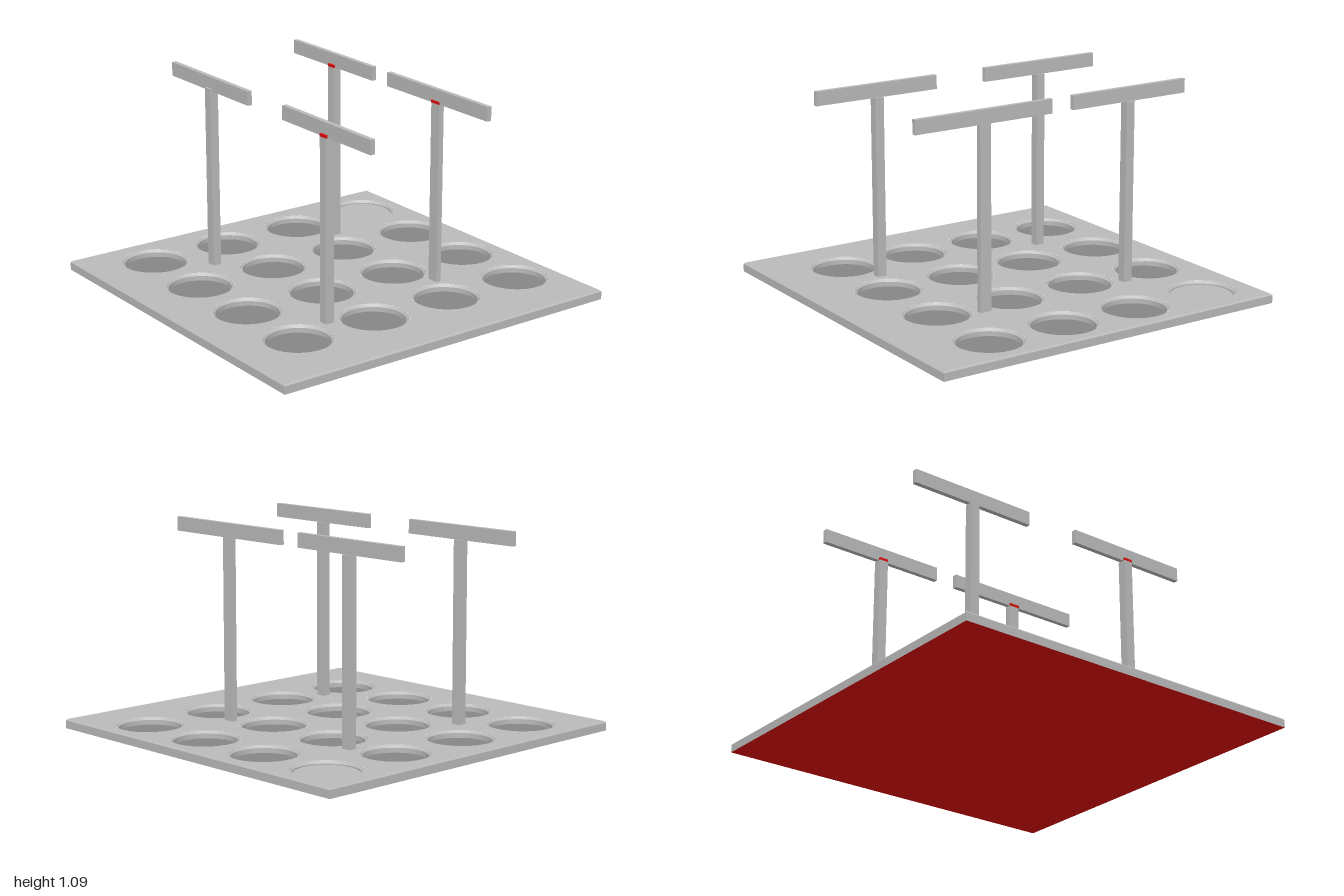
import * as THREE from 'three';
import { toCreasedNormals } from 'three/addons/utils/BufferGeometryUtils.js';

export function createModel() {
  const model = new THREE.Group();
  const material = (name, color) => Object.assign(new THREE.MeshStandardMaterial({ color }), { name });
  const gray = material('light gray', 0xbababa);
  const dark = material('dark gray', 0x868686);
  const red = material('red', 0xe00c0c);

  const add = (name, geometry, mat, x = 0, y = 0, z = 0, parent = model) => {
    const mesh = new THREE.Mesh(geometry, mat);
    mesh.name = name;
    mesh.position.set(x, y, z);
    parent.add(mesh);
    return mesh;
  };

  // Plate dimensions and the grid of round pockets
  const top = 0.05, chamfer = 0.008, sides = 28;
  const rim = 0.178, bore = 0.163, lip = 0.037;
  const columns = [-0.73, -0.29, 0.15, 0.59];
  const rows = [-0.762, -0.297, 0.168, 0.631];

  // Top sheet with holes
  const e = 1 - chamfer;
  const sheet = new THREE.Shape([[-e, -e], [e, -e], [e, e], [-e, e]].map(p => new THREE.Vector2(...p)));

  rows.forEach((z, r) => columns.forEach((x, c) => {
    const hole = new THREE.Path();
    hole.absarc(x, -z, rim, 0, Math.PI * 2, true);
    sheet.holes.push(hole);

    // Chamfered rim and wall, with one shallow pocket in the back corner
    const shallow = r === 0 && c === 0;
    const floorY = shallow ? 0.03 : 0.012;
    const profile = [[rim, top], [bore, lip], [bore, floorY]].map(p => new THREE.Vector2(...p));
    add('pocketWall', toCreasedNormals(new THREE.LatheGeometry(profile, sides), 0.5), gray, x, 0, z);
    const floor = new THREE.CircleGeometry(bore, sides).rotateX(-Math.PI / 2);
    add('pocketFloor', floor, shallow ? gray : dark, x, floorY, z);
  }));
  add('plateTop', new THREE.ShapeGeometry(sheet, sides).rotateX(-Math.PI / 2), gray, 0, top, 0);

  // Four-sided skirt and chamfer around the plate
  const band = (name, halfTop, halfBottom, y0, y1) => {
    const g = new THREE.CylinderGeometry(halfTop * Math.SQRT2, halfBottom * Math.SQRT2, y1 - y0, 4, 1, true, Math.PI / 4);
    add(name, toCreasedNormals(g, 0.3), gray, 0, (y0 + y1) / 2, 0);
  };
  band('plateSides', 1, 1, 0, top - chamfer);
  band('plateChamfer', e, 1, top - chamfer, top);
  add('plateUnderside', new THREE.PlaneGeometry(2, 2).rotateX(Math.PI / 2), red);

  // T-shaped stands: a post, a crossbeam and a small ledge in front of it
  const postTop = 1.013, beamHeight = 0.075, beamDepth = 0.026;
  const stand = (name, z, postX, postWidth, postDepth, x0, x1, ledgeMat) => {
    const g = new THREE.Group();
    g.name = name;
    g.position.z = z;
    model.add(g);
    const height = postTop - top;
    add('post', new THREE.BoxGeometry(postWidth, height, postDepth), gray, postX, top + height / 2, 0, g);
    add('crossbeam', new THREE.BoxGeometry(x1 - x0, beamHeight, beamDepth), gray,
      (x0 + x1) / 2, postTop + beamHeight / 2, 0, g);
    const ledge = Math.max((postDepth - beamDepth) / 2, 0.005);
    add('ledge', new THREE.BoxGeometry(postWidth, 0.014, ledge), ledgeMat,
      postX, postTop + 0.007, beamDepth / 2 + ledge / 2, g);
  };
  stand('frontRightStand', 0.396, -0.51, 0.05, 0.048, -0.87, -0.155, gray);
  stand('frontLeftStand', 0.396, 0.505, 0.05, 0.048, 0.15, 0.867, red);
  stand('backRightStand', -0.398, -0.51, 0.05, 0.048, -0.87, -0.155, red);
  stand('backLeftStand', -0.398, 0.374, 0.064, 0.03, -0.027, 0.775, red);

  return model;
}
